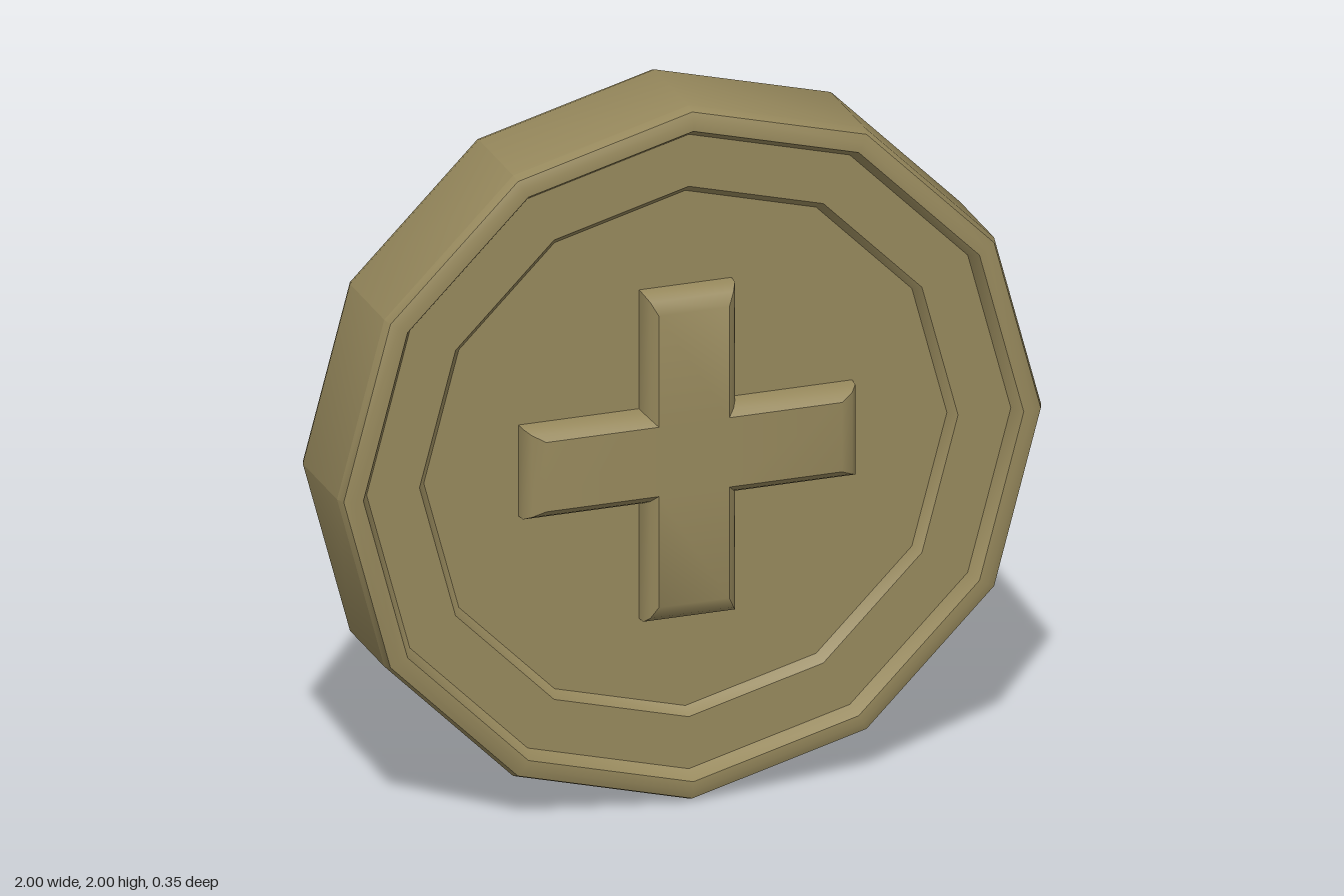
import * as THREE from 'three';
import { toCreasedNormals } from 'three/addons/utils/BufferGeometryUtils.js';

const CREASE = 0.6; // keeps the 30 degree turns of the 12-sided rim smooth

export function createModel() {
  const coin = new THREE.Group();
  coin.name = 'coin';
  const material = new THREE.MeshStandardMaterial({ color: 0x96885c });

  const add = (name, geometry) => {
    const mesh = new THREE.Mesh(toCreasedNormals(geometry, CREASE), material);
    mesh.name = name;
    mesh.position.y = 1;
    coin.add(mesh);
  };

  // Twelve-sided disc: raised rim, recessed band and deeper centre, same on both faces
  const half = [
    [1, 0.135], [0.99, 0.16], [0.965, 0.17], [0.938, 0.17],
    [0.915, 0.132], [0.765, 0.132], [0.743, 0.105], [0, 0.105],
  ];
  const profile = [
    ...half.slice().reverse().map(([r, z]) => new THREE.Vector2(r, -z)),
    ...half.map(([r, z]) => new THREE.Vector2(r, z)),
  ];
  add('disc', new THREE.LatheGeometry(profile, 12).rotateX(Math.PI / 2));

  // Cross rising from both faces: each ring is [arm length, arm half width, z]
  const upper = [
    [0.475, 0.132, 0.09], [0.472, 0.13, 0.135], [0.455, 0.118, 0.158], [0.42, 0.1, 0.175],
  ];
  const rings = [...upper.slice().reverse().map(([l, w, z]) => [l, w, -z]), ...upper];

  // Unit outline: 2 marks an arm end, 1 marks an arm side
  const outline = [
    [2, -1], [2, 1], [1, 1], [1, 2], [-1, 2], [-1, 1],
    [-2, 1], [-2, -1], [-1, -1], [-1, -2], [1, -2], [1, -1],
  ].map(([x, y]) => new THREE.Vector2(x, y));
  const steps = rings.length - 1;
  const cross = new THREE.ExtrudeGeometry(new THREE.Shape(outline), {
    depth: steps, steps, bevelEnabled: false,
  });

  // Fit each layer of the extrusion to its ring
  const pos = cross.attributes.position;
  for (let i = 0; i < pos.count; i++) {
    const [length, width, z] = rings[Math.round(pos.getZ(i))];
    const fit = (v) => Math.sign(v) * (Math.abs(v) > 1.5 ? length : width);
    pos.setXYZ(i, fit(pos.getX(i)), fit(pos.getY(i)), z);
  }
  add('cross', cross);

  return coin;
}
